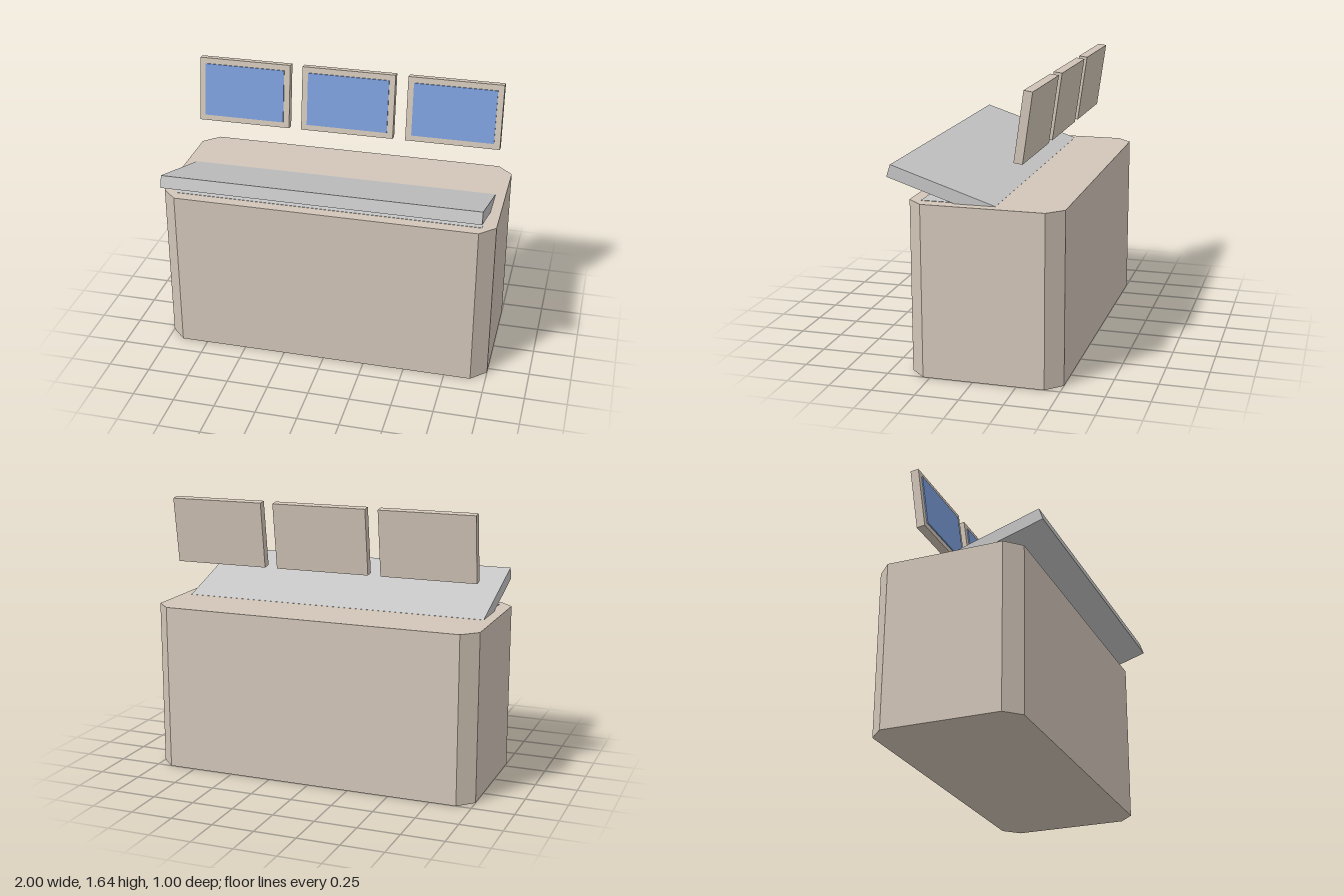
import * as THREE from 'three';

const material = (name, color) => {
  const m = new THREE.MeshStandardMaterial({ color });
  m.name = name;
  return m;
};

export function createModel() {
  const casing = material('beige casing', 0xd2c6b8);
  const panel = material('grey panel', 0xc6c6c6);
  const glass = material('blue screen', 0x7c9fdb);

  const model = new THREE.Group();
  model.name = 'controlConsole';

  const box = (name, w, h, d, mat, x, y, z, parent = model) => {
    const mesh = new THREE.Mesh(new THREE.BoxGeometry(w, h, d), mat);
    mesh.name = name;
    mesh.position.set(x, y, z);
    parent.add(mesh);
    return mesh;
  };

  // Cabinet: rectangle with four cut corners, extruded upward (shape y = -z)
  const c = 0.09, front = -0.38, back = 0.5;
  const outline = new THREE.Shape([
    [-1 + c, front], [1 - c, front], [1, front + c], [1, back - c],
    [1 - c, back], [-1 + c, back], [-1, back - c], [-1, front + c],
  ].map(([x, y]) => new THREE.Vector2(x, y)));
  const cabinet = new THREE.Mesh(
    new THREE.ExtrudeGeometry(outline, { depth: 1, bevelEnabled: false }), casing);
  cabinet.name = 'cabinet';
  cabinet.rotation.x = -Math.PI / 2;
  model.add(cabinet);

  // Sloping desk: its top rear edge meets the cabinet top, its front edge overhangs
  const desk = new THREE.Group();
  desk.name = 'slopingDesk';
  desk.position.set(0, 1.001, -0.12);
  desk.rotation.x = -THREE.MathUtils.degToRad(18);
  model.add(desk);
  box('deskPanel', 1.88, 0.073, 0.63, panel, 0, -0.0365, 0.315, desk);

  // Thin inlay on the cabinet top beneath the desk
  box('deskInlay', 1.84, 0.004, 0.18, panel, 0, 1, 0.22);

  // Three monitors leaning back above the cabinet
  for (const [name, x] of [['right', -0.65], ['middle', 0], ['left', 0.65]]) {
    const monitor = new THREE.Group();
    monitor.name = `${name}Monitor`;
    monitor.position.set(x, 1.439, -0.272);
    monitor.rotation.x = -THREE.MathUtils.degToRad(8);
    model.add(monitor);
    box('monitorCase', 0.573, 0.396, 0.05, casing, 0, 0, 0, monitor);
    box('monitorScreen', 0.5, 0.325, 0.008, glass, 0, 0, 0.028, monitor);
  }
  return model;
}
